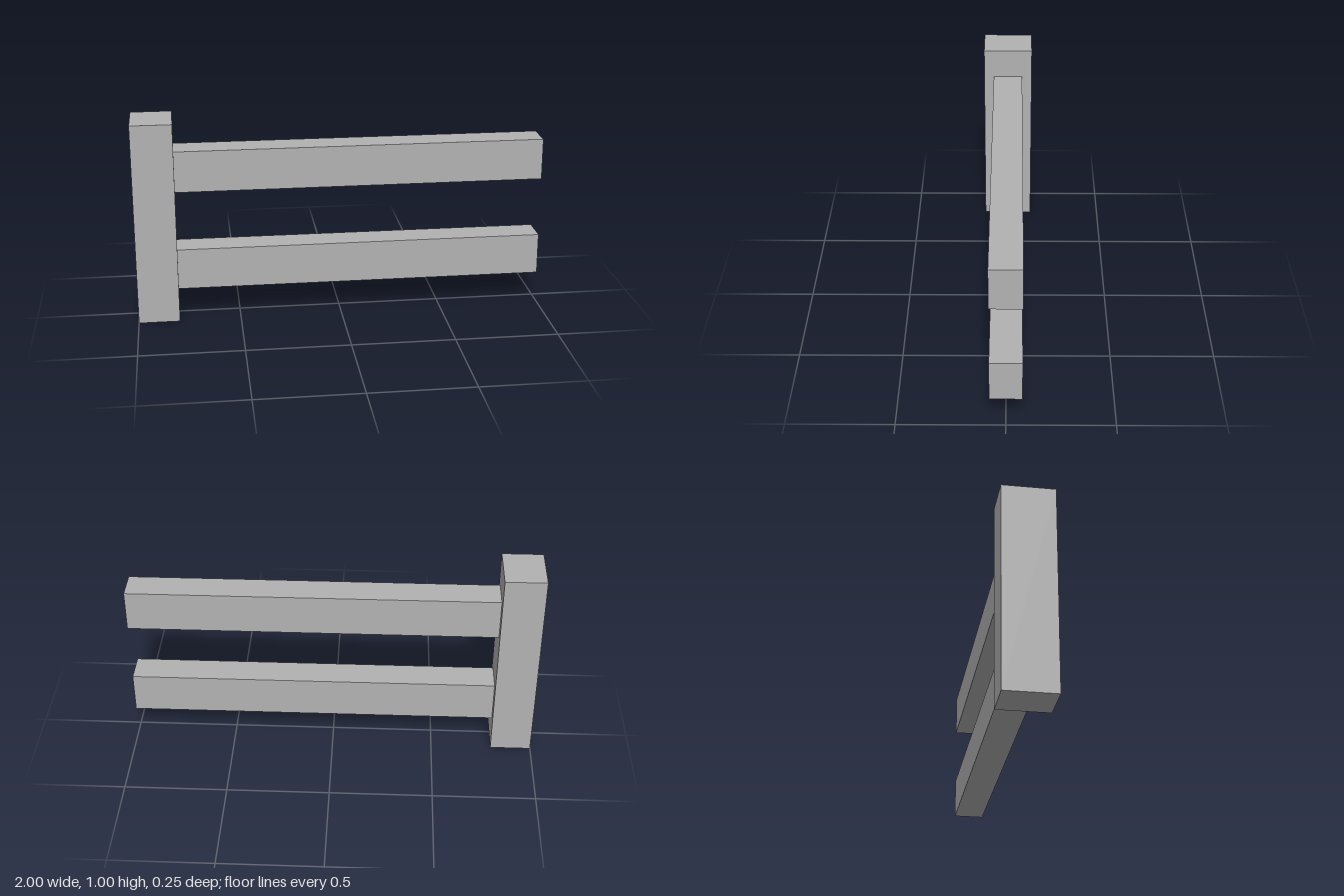
import * as THREE from 'three';

export function createModel() {
  const group = new THREE.Group();
  group.name = 'fence';
  const grey = new THREE.MeshStandardMaterial({ color: 0xb2b2b2 });
  grey.name = 'grey';

  const addBeam = (name, size, position) => {
    const mesh = new THREE.Mesh(new THREE.BoxGeometry(...size), grey);
    mesh.name = name;
    mesh.position.set(...position);
    group.add(mesh);
  };

  // Upright post at one end
  addBeam('post', [0.2, 1, 0.25], [-0.9, 0.5, 0]);

  // Two rails running from the post's inner face
  for (const [name, y] of [['lowerRail', 0.253], ['upperRail', 0.75]]) {
    addBeam(name, [1.8, 0.203, 0.15], [0.1, y, 0]);
  }

  return group;
}
